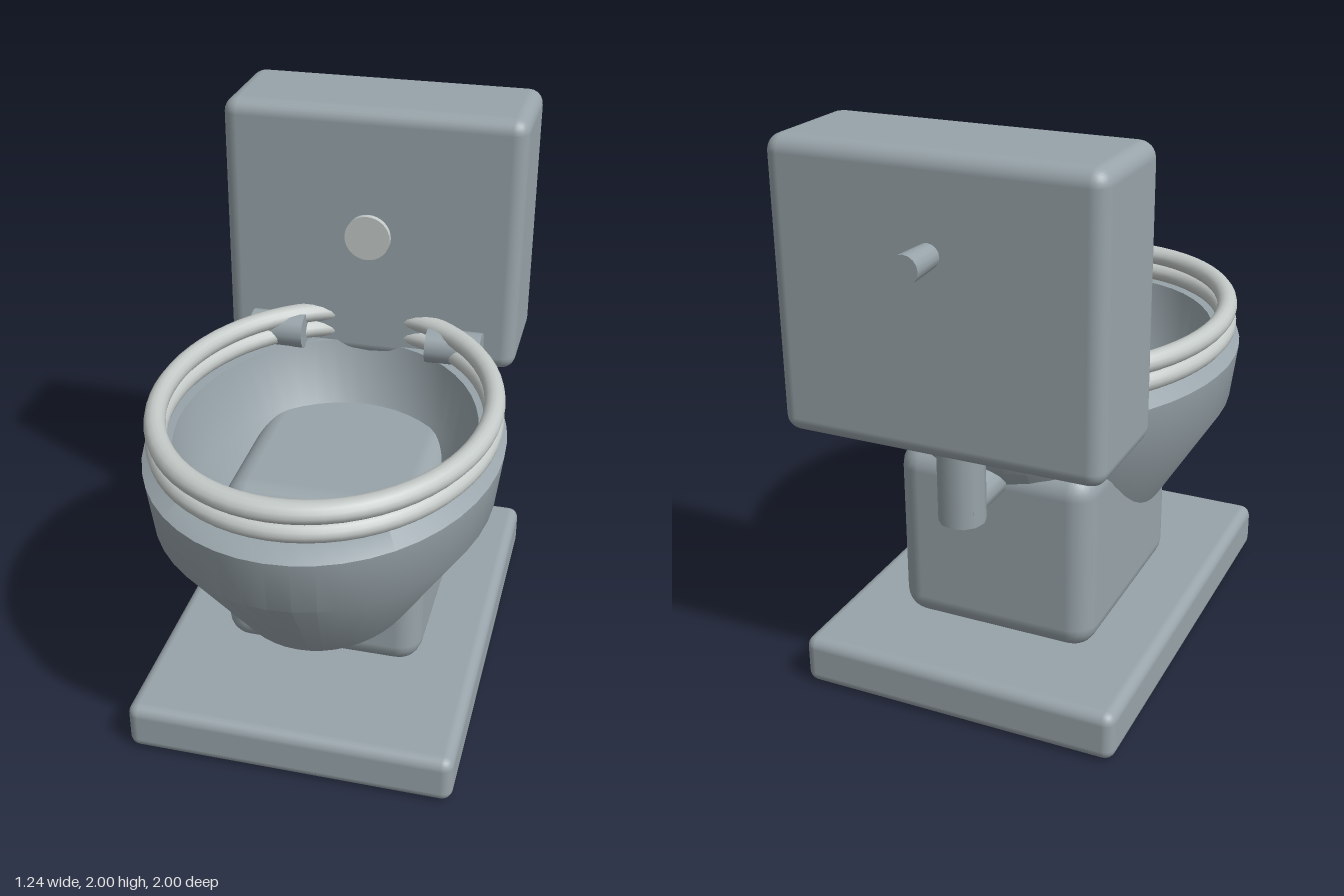
import * as THREE from 'three';
import { RoundedBoxGeometry } from 'three/addons/geometries/RoundedBoxGeometry.js';
import { toCreasedNormals } from 'three/addons/utils/BufferGeometryUtils.js';

export function createModel() {
  const model = new THREE.Group();
  const greyCeramic = new THREE.MeshStandardMaterial({ color: 0x98a4aa });
  const paleSeat = new THREE.MeshStandardMaterial({ color: 0xc4cac8 });

  const add = (name, geometry, material, x = 0, y = 0, z = 0) => {
    const mesh = new THREE.Mesh(geometry, material);
    mesh.name = name;
    mesh.position.set(x, y, z);
    model.add(mesh);
    return mesh;
  };

  // Rounded box given by its limits in y and z, centred on x
  const block = (name, width, y0, y1, z0, z1, radius) =>
    add(name, new RoundedBoxGeometry(width, y1 - y0, z1 - z0, 3, radius),
      greyCeramic, 0, (y0 + y1) / 2, (z0 + z1) / 2);

  block('basePlate', 1.17, 0, 0.18, -0.79, 0.82, 0.04);
  block('pedestal', 0.74, 0.16, 0.84, -0.475, 0.35, 0.09);
  block('tank', 1.12, 1.02, 2.0, -0.855, -0.415, 0.055);

  // Oval bowl: outer wall, rim, then inner wall down to the floor
  const profile = [
    [0, 0.42], [0.335, 0.42], [0.595, 0.84], [0.62, 1.04], [0.56, 1.08],
    [0.52, 1.08], [0.465, 0.84], [0.2, 0.5], [0, 0.5],
  ].map(([r, y]) => new THREE.Vector2(r, y));
  const bowl = new THREE.LatheGeometry(profile, 48);
  bowl.scale(1, 1, 1.258);
  add('bowl', toCreasedNormals(bowl, Math.PI / 6), greyCeramic, 0, 0, 0.22);

  // Seat ring and lid ring, stacked
  [['seatRing', 1.117], ['lidRing', 1.184]].forEach(([name, y]) => {
    const ring = new THREE.TorusGeometry(0.571, 0.036, 14, 64);
    ring.rotateX(Math.PI / 2);
    ring.scale(1, 1, 1.227);
    add(name, ring, paleSeat, 0, y, 0.22);
  });

  // Hinge barrels
  for (const side of [1, -1]) {
    const hinge = add(side > 0 ? 'leftHinge' : 'rightHinge',
      new THREE.CylinderGeometry(0.066, 0.066, 0.205, 16), greyCeramic,
      side * 0.34, 1.133, -0.358);
    hinge.rotation.z = Math.PI / 2;
  }

  // Flush button in front of the tank
  const button = add('flushButton',
    new THREE.CylinderGeometry(0.085, 0.085, 0.022, 32), paleSeat, 0, 1.535, -0.375);
  button.rotation.x = Math.PI / 2;

  // Water inlet at the back of the tank, flaring outwards
  const inlet = add('waterInlet',
    new THREE.CylinderGeometry(0.038, 0.047, 0.18, 16), greyCeramic, 0, 1.69, -0.91);
  inlet.rotation.x = Math.PI / 2;

  // Waste pipe from the tank down and forward into the pedestal
  add('downPipe', new THREE.CylinderGeometry(0.08, 0.08, 0.32, 12), greyCeramic,
    0, 0.89, -0.675);
  const outlet = add('outletPipe',
    new THREE.CylinderGeometry(0.066, 0.066, 0.32, 12), greyCeramic, 0, 0.784, -0.56);
  outlet.rotation.x = Math.PI / 2;

  return model;
}
